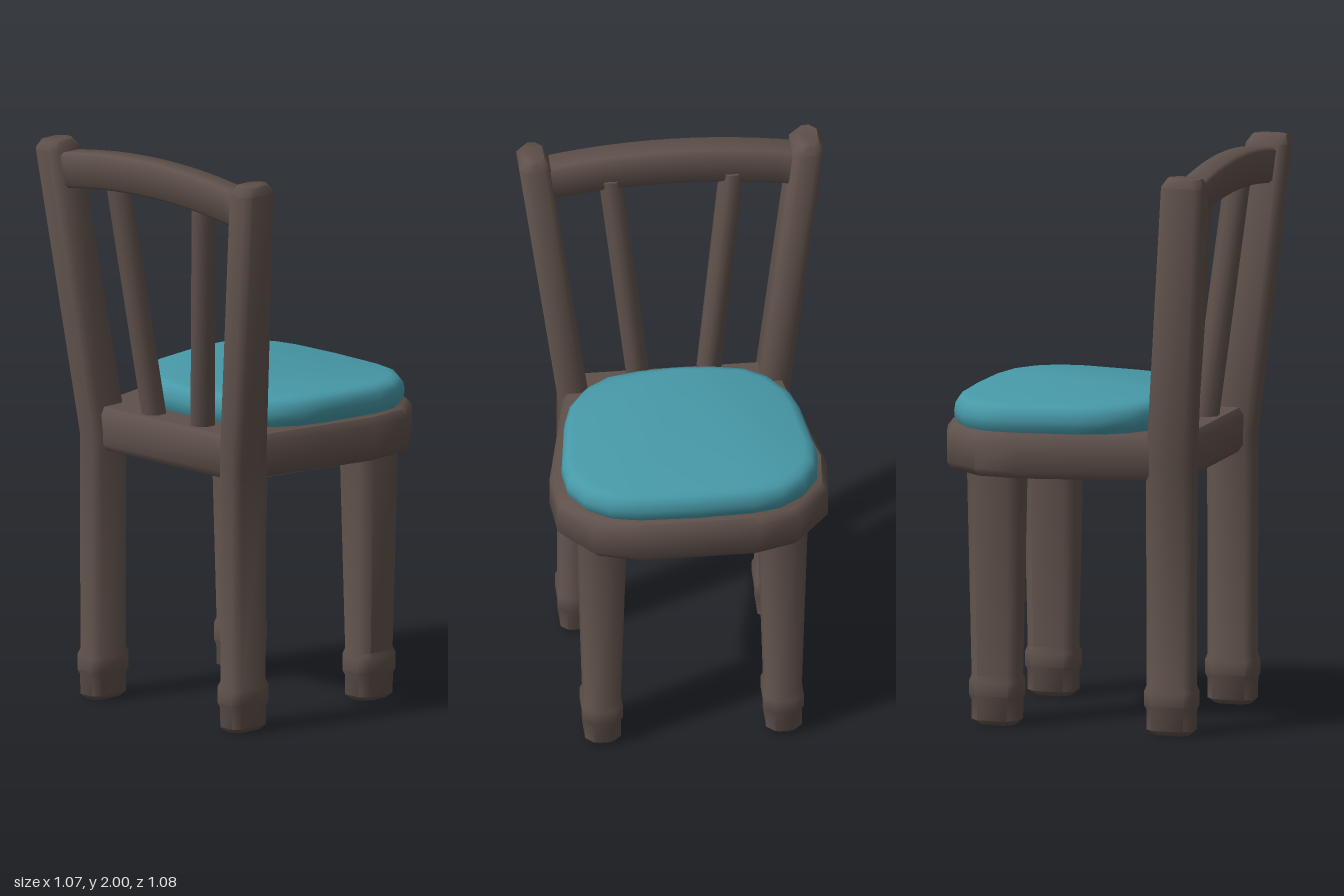
import * as THREE from 'three';
import { toCreasedNormals } from 'three/addons/utils/BufferGeometryUtils.js';

const wood = new THREE.MeshStandardMaterial({ color: 0x5f514b });
wood.name = 'dark wood';
const fabric = new THREE.MeshStandardMaterial({ color: 0x4799a8 });
fabric.name = 'teal fabric';

// Closed solid through a row of rings with equal point counts.
function loft(rings) {
  const n = rings[0].length, last = (rings.length - 1) * n, index = [];
  for (let r = 0; r < rings.length - 1; r++) {
    for (let j = 0; j < n; j++) {
      const a = r * n + j, b = r * n + (j + 1) % n;
      index.push(a, b, b + n, a, b + n, a + n);
    }
  }
  for (let j = 1; j < n - 1; j++) {
    index.push(0, j + 1, j, last, last + j, last + j + 1);
  }
  const geo = new THREE.BufferGeometry();
  geo.setAttribute('position', new THREE.Float32BufferAttribute(rings.flat(2), 3));
  geo.setIndex(index);
  return toCreasedNormals(geo, 0.9);
}

// Rectangle with cut corners, counter-clockwise.
function section(w, d, bevel) {
  const a = w / 2, b = d / 2, c = bevel;
  return [[a, c - b], [a, b - c], [a - c, b], [c - a, b],
    [-a, b - c], [-a, c - b], [c - a, -b], [a - c, -b]];
}

// Horizontal ring of a post.
const postRing = (x, y, z, w, d, bevel = 0.025) =>
  section(w, d, bevel).map(([a, b]) => [x + a, y, z - b]);

// Half outline (front centre to back), mirrored and stacked with a scale per level.
function slab(half, levels, cz) {
  const outline = [
    ...half.map(([x, z]) => [-x, z]).reverse().filter(([x]) => x < -0.001),
    ...half,
  ].reverse();
  return loft(levels.map(([y, s]) =>
    outline.map(([x, z]) => [x * s, y, cz + (z - cz) * s])));
}

export function createModel() {
  const model = new THREE.Group();
  const chair = new THREE.Group();
  chair.name = 'chair';
  chair.rotation.y = 0.07;
  chair.position.set(-0.03, 0, 0.002);
  model.add(chair);

  const add = (name, geo, material) => {
    const mesh = new THREE.Mesh(geo, material);
    mesh.name = name;
    chair.add(mesh);
  };

  // Foot with a raised ring: height, change of size
  const foot = [[0, -0.035], [0.018, 0], [0.09, 0.002], [0.105, 0.014], [0.155, 0.014], [0.175, 0]];

  for (const [side, s] of [['left', 1], ['right', -1]]) {
    // Rear leg that continues into the leaning back post
    add(side + 'BackPost', loft([
      ...foot.map(([y, g]) => postRing(s * 0.346, y, 0.33, 0.108 + g, 0.166 + g)),
      postRing(s * 0.346, 0.96, 0.33, 0.11, 0.17),
      postRing(s * 0.480, 1.97, 0.421, 0.11, 0.155),
      postRing(s * 0.482, 2.0, 0.423, 0.075, 0.12),
    ]), wood);

    // Tapered front leg
    add(side + 'FrontLeg', loft([
      ...foot.map(([y, g]) => postRing(s * 0.318, y, -0.32, 0.126 + g, 0.168 + g, 0.03)),
      postRing(s * 0.318, 0.92, -0.32, 0.168, 0.192, 0.035),
    ]), wood);

    // Slanted back spindle
    add(side + 'Spindle', loft([
      postRing(s * 0.118, 1.03, 0.302, 0.082, 0.088),
      postRing(s * 0.214, 1.9, 0.392, 0.082, 0.088),
    ]), wood);
  }

  // Seat frame
  add('seat', slab(
    [[0.21, -0.537], [0.36, -0.492], [0.475, -0.354], [0.487, -0.193], [0.397, 0.24], [0.37, 0.385]],
    [[0.9, 0.96], [0.925, 1], [1.03, 1], [1.055, 0.96]], -0.08), wood);

  // Seat cushion
  add('cushion', slab(
    [[0, -0.511], [0.206, -0.504], [0.305, -0.483], [0.39, -0.425], [0.44, -0.343], [0.45, -0.243],
      [0.417, -0.003], [0.391, 0.086], [0.329, 0.177], [0.25, 0.231], [0.133, 0.256], [0, 0.264]],
    [[1.045, 0.95], [1.075, 0.995], [1.1, 1], [1.128, 0.99], [1.148, 0.955], [1.156, 0.9]], -0.12), fabric);

  // Arched crest rail, leaning with the posts
  const crest = [];
  for (let i = 0; i <= 12; i++) {
    const x = -0.46 + 0.92 * i / 12;
    const y = 1.936 - 0.036 * (x / 0.42) ** 2;
    crest.push(section(0.128, 0.1, 0.012).map(([a, b]) => [x, y + a, 0.409 + b + 0.09 * a]));
  }
  add('crestRail', loft(crest), wood);

  return model;
}
